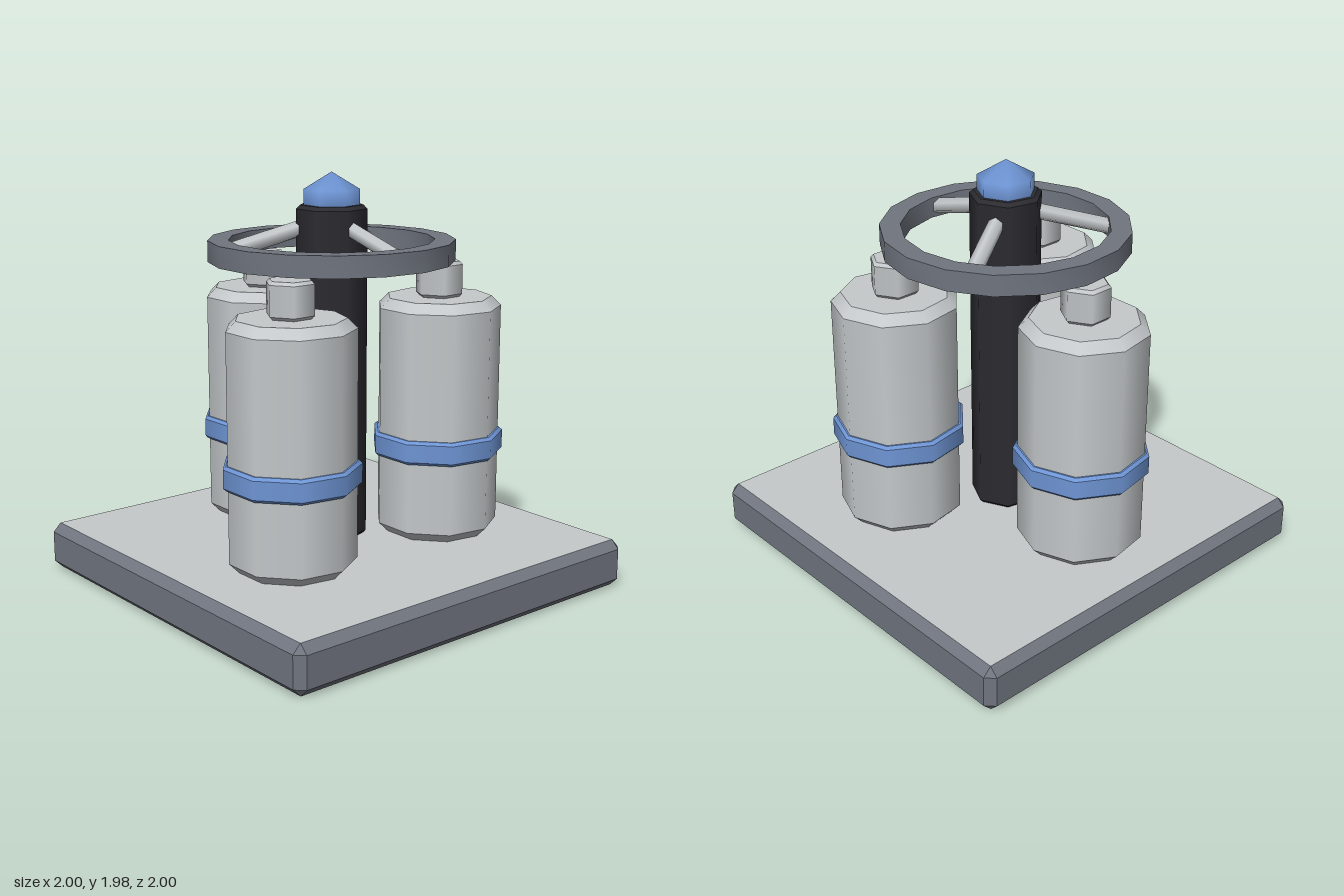
import * as THREE from 'three';
import { mergeGeometries, toCreasedNormals } from 'three/addons/utils/BufferGeometryUtils.js';

const material = (name, color, side = THREE.FrontSide) => {
  const m = new THREE.MeshStandardMaterial({ color, side });
  m.name = name;
  return m;
};

// Upright prism with a corner at +x and chamfered rims, sharp between the bands
function chamferedPrism(radius, y0, y1, sides, inset, drop = inset) {
  const band = (rTop, rBottom, a, b) =>
    new THREE.CylinderGeometry(rTop, rBottom, b - a, sides, 1, true).translate(0, (a + b) / 2, 0);
  const r = radius - inset;
  return mergeGeometries([
    band(radius, r, y0, y0 + drop),
    band(radius, radius, y0 + drop, y1 - drop),
    band(r, radius, y1 - drop, y1),
    new THREE.CircleGeometry(r, sides).rotateX(-Math.PI / 2).rotateY(-Math.PI / 2).translate(0, y1, 0),
    new THREE.CircleGeometry(r, sides).rotateX(Math.PI / 2).rotateY(-Math.PI / 2).translate(0, y0, 0),
  ]).rotateY(Math.PI / 2);
}

// Chamfered rim of the square base, lofted through four loops of eight corners
function baseRimGeometry(half, height, c) {
  const loop = (y, out) => {
    const pts = [];
    for (let k = 0; k < 4; k++) {
      const a = (k * Math.PI) / 2, cos = Math.round(Math.cos(a)), sin = Math.round(Math.sin(a));
      for (const [x, z] of [[out, half - c], [half - c, out]])
        pts.push([x * cos - z * sin, y, x * sin + z * cos]);
    }
    return pts;
  };
  const loops = [loop(0, half - c), loop(c, half), loop(height - c, half), loop(height, half - c)];
  const positions = [];
  for (let l = 0; l < 3; l++) {
    for (let i = 0; i < 8; i++) {
      const j = (i + 1) % 8;
      const a = loops[l][i], b = loops[l][j], d = loops[l + 1][i], e = loops[l + 1][j];
      positions.push(...a, ...d, ...b, ...b, ...d, ...e);
    }
  }
  const g = new THREE.BufferGeometry();
  g.setAttribute('position', new THREE.Float32BufferAttribute(positions, 3));
  g.computeVertexNormals();
  return g;
}

// Flat polygonal ring with a square section
function wheelGeometry(outer, inner, y0, y1, sides) {
  const ring = (r) => Array.from({ length: sides }, (_, i) => {
    const a = (i / sides) * Math.PI * 2;
    return new THREE.Vector2(r * Math.cos(a), r * Math.sin(a));
  });
  const shape = new THREE.Shape(ring(outer));
  shape.holes.push(new THREE.Path(ring(inner)));
  const g = new THREE.ExtrudeGeometry(shape, { depth: y1 - y0, bevelEnabled: false });
  return toCreasedNormals(g.rotateX(-Math.PI / 2).translate(0, y0, 0), 0.5);
}

export function createModel() {
  const model = new THREE.Group();
  model.name = 'tankStand';
  const light = material('lightGrey', 0xc5c9cb);
  const slate = material('slateGrey', 0x70757f);
  const dark = material('charcoal', 0x2c2b30);
  const blue = material('blue', 0x6f96d6);

  const add = (parent, name, geometry, mat) => {
    const mesh = new THREE.Mesh(geometry, mat);
    mesh.name = name;
    parent.add(mesh);
    return mesh;
  };

  // Base slab: slate rim with light top and underside
  add(model, 'baseRim', baseRimGeometry(1, 0.23, 0.04), slate);
  const face = () => new THREE.PlaneGeometry(1.92, 1.92);
  add(model, 'baseTop', face().rotateX(-Math.PI / 2).translate(0, 0.23, 0), light);
  add(model, 'baseUnderside', face().rotateX(Math.PI / 2), light);

  // Central column and its tip
  add(model, 'column', chamferedPrism(0.17, 0.23, 1.83, 7, 0.018), dark);
  add(model, 'tip', new THREE.SphereGeometry(0.155, 7, 3).rotateY(Math.PI).translate(0, 1.825, 0), blue);

  // Three tanks around the column, all turned the same way
  const tankBody = chamferedPrism(0.298, 0.23, 1.385, 9, 0.046);
  const tankBand = chamferedPrism(0.32, 0.62, 0.735, 9, 0.014);
  const tankCap = chamferedPrism(0.115, 1.385, 1.555, 6, 0.015);
  for (let i = 0; i < 3; i++) {
    const a = Math.PI / 6 + (i * Math.PI * 2) / 3;
    const tank = new THREE.Group();
    tank.name = 'tank' + (i + 1);
    tank.position.set(0.52 * Math.cos(a), 0, 0.52 * Math.sin(a));
    add(tank, 'tankBody', tankBody, light);
    add(tank, 'tankBand', tankBand, blue);
    add(tank, 'tankCap', tankCap, light);
    model.add(tank);
  }

  // Wheel and three sloping spokes
  add(model, 'wheel', wheelGeometry(0.58, 0.483, 1.57, 1.67, 17), slate);
  const up = new THREE.Vector3(0, 1, 0);
  for (let i = 0; i < 3; i++) {
    const a = Math.PI / 2 + (i * Math.PI * 2) / 3;
    const from = new THREE.Vector3(0.05 * Math.cos(a), 1.75, 0.05 * Math.sin(a));
    const to = new THREE.Vector3(0.5 * Math.cos(a), 1.615, 0.5 * Math.sin(a));
    const dir = to.clone().sub(from);
    const spoke = add(model, 'spoke' + (i + 1), new THREE.CylinderGeometry(0.038, 0.038, dir.length(), 6), light);
    spoke.position.copy(from).add(to).multiplyScalar(0.5);
    spoke.quaternion.setFromUnitVectors(up, dir.normalize());
  }
  return model;
}
